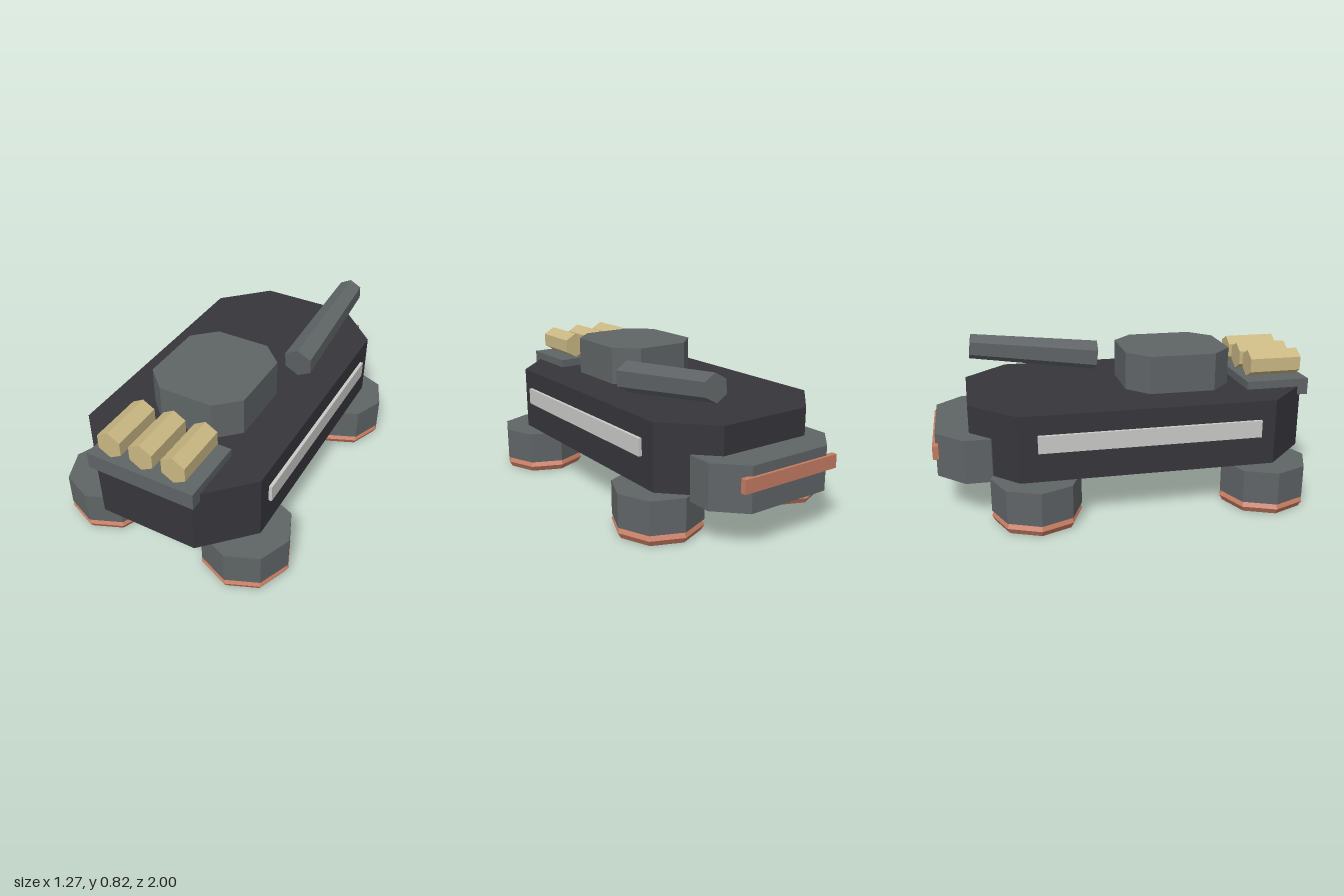
import * as THREE from 'three';

const mat = (name, color) => {
  const m = new THREE.MeshStandardMaterial({ color, flatShading: true });
  m.name = name;
  return m;
};

export function createModel() {
  const model = new THREE.Group();
  model.name = 'hoverTank';
  const hullDark = mat('hull dark', 0x36353b);
  const steel = mat('steel grey', 0x5f6466);
  const copper = mat('copper', 0xc67c62);
  const brass = mat('pale brass', 0xc9b783);
  const trim = mat('light trim', 0xc9c9c7);

  const add = (name, geo, material, x = 0, y = 0, z = 0, parent = model) => {
    const mesh = new THREE.Mesh(geo, material);
    mesh.name = name;
    mesh.position.set(x, y, z);
    parent.add(mesh);
    return mesh;
  };

  // Upright prism with chamfered corners: half width w, flat end half width e,
  // z range z0..z1, chamfer length c along z, height y0..y1
  const prism = (w, e, z0, z1, c, y0, y1) => {
    const pts = [[e, z1], [w, z1 - c], [w, z0 + c], [e, z0], [-e, z0], [-w, z0 + c], [-w, z1 - c], [-e, z1]];
    const shape = new THREE.Shape(pts.map(([x, z]) => new THREE.Vector2(x, -z)));
    return new THREE.ExtrudeGeometry(shape, { depth: y1 - y0, bevelEnabled: false })
      .rotateX(-Math.PI / 2).translate(0, y0, 0);
  };

  // Main bodies
  add('hull', prism(0.49, 0.26, -0.815, 0.97, 0.233, 0.23, 0.575), hullDark);
  add('turret', prism(0.26, 0.145, 0.02, 0.59, 0.11, 0.575, 0.776), steel);
  add('rearEngine', prism(0.372, 0.235, -0.985, -0.57, 0.14, 0.2, 0.43), steel);
  add('rearExhaustBar', new THREE.BoxGeometry(0.58, 0.07, 0.03), copper, 0, 0.345, -0.985);

  // Side strips
  for (const s of [-1, 1]) {
    add('sideStrip', new THREE.BoxGeometry(0.03, 0.09, 1.15), trim, s * 0.492, 0.43, 0.085);
  }

  // Hover pods with ring and core underneath
  for (const s of [-1, 1]) {
    for (const z of [0.715, -0.495]) {
      const pod = new THREE.Group();
      pod.name = 'hoverPod';
      pod.position.set(s * 0.403, 0, z);
      model.add(pod);
      add('podBody', new THREE.CylinderGeometry(0.23, 0.23, 0.173, 8), steel, 0, 0.1435, 0, pod);
      add('podRing', new THREE.TorusGeometry(0.197, 0.035, 6, 8).rotateX(Math.PI / 2), copper, 0, 0.03, 0, pod);
      add('podCore', new THREE.CylinderGeometry(0.13, 0.13, 0.02, 8), copper, 0, 0.05, 0, pod);
    }
  }

  // Front launcher rack with three hexagonal tubes
  add('launcherBase', new THREE.BoxGeometry(0.576, 0.088, 0.345), steel, 0, 0.574, 0.8275);
  for (const x of [-0.173, 0, 0.173]) {
    add('launcherTube', new THREE.CylinderGeometry(0.072, 0.072, 0.282, 6).rotateX(Math.PI / 2), brass, x, 0.69, 0.83);
  }

  // Tapered hexagonal barrel, raised toward the rear
  const barrel = add('barrel', new THREE.CylinderGeometry(0.085, 0.07, 0.72, 6).rotateX(Math.PI / 2),
    steel, 0.285, 0.703, -0.424);
  barrel.rotation.x = 0.122;

  return model;
}
